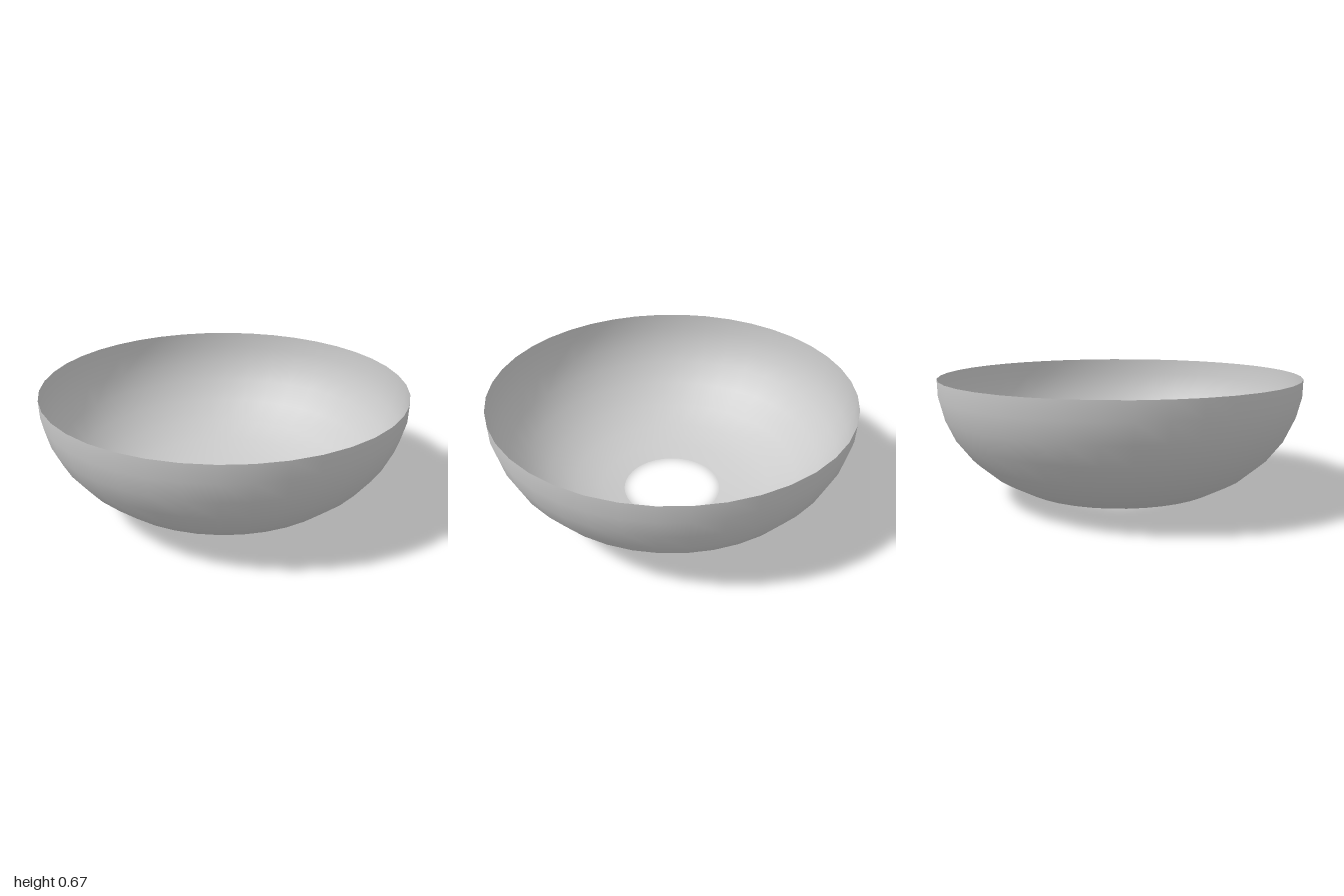
import * as THREE from 'three';

export function createModel() {
  const group = new THREE.Group();

  // Thin open shell: profile runs from the bottom hole up to the rim
  const profile = [
    [0.285, 0], [0.415, 0.02], [0.573, 0.062], [0.72, 0.143], [0.837, 0.245],
    [0.922, 0.357], [0.972, 0.468], [0.998, 0.575], [1, 0.67],
  ].map(([r, y]) => new THREE.Vector2(r, y));

  const material = new THREE.MeshStandardMaterial({ color: 0xcccccc, side: THREE.DoubleSide });
  const bowl = new THREE.Mesh(new THREE.LatheGeometry(profile, 40), material);
  bowl.name = 'bowlShell';
  group.add(bowl);

  return group;
}
